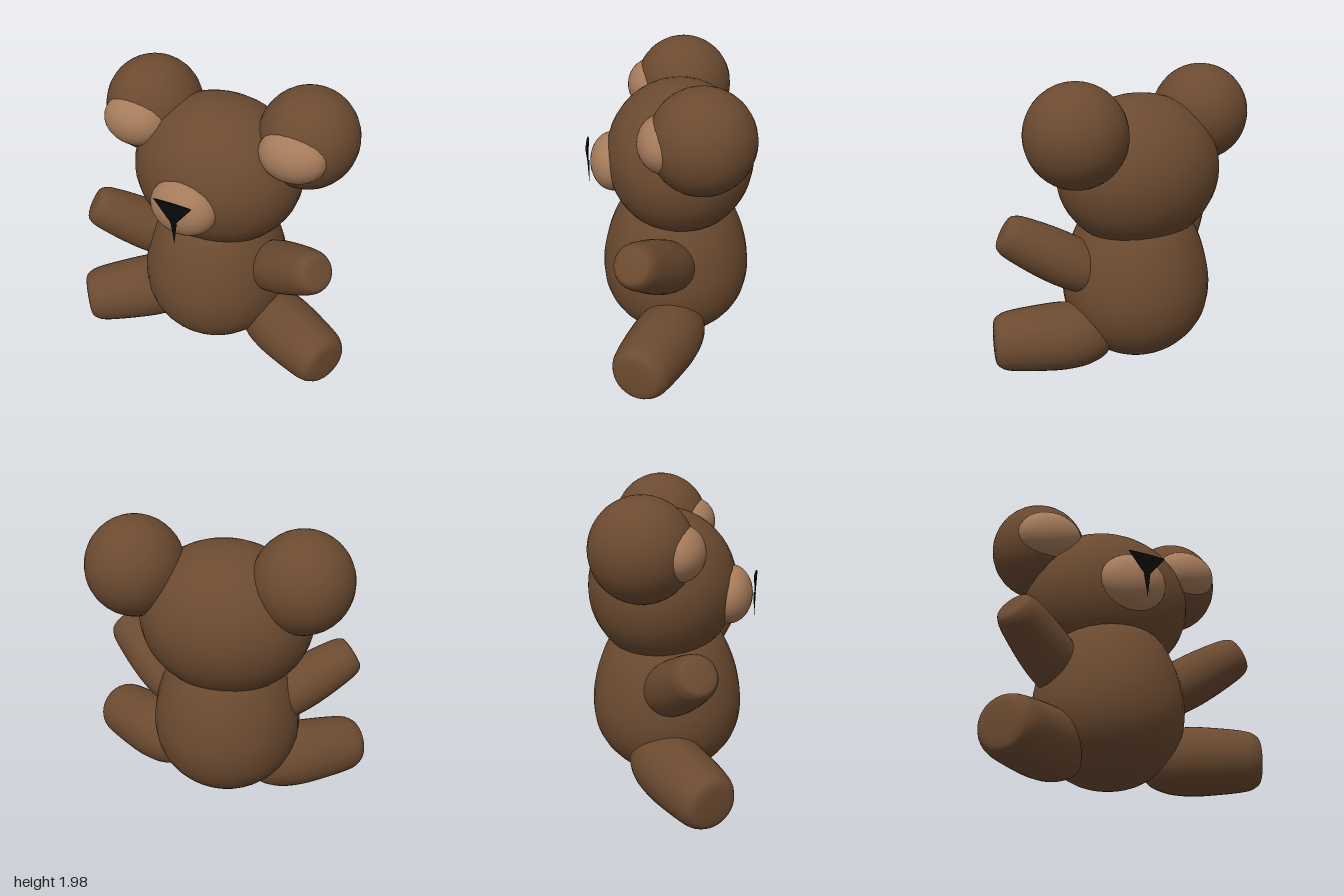
import * as THREE from 'three';

const fur = new THREE.MeshStandardMaterial({ color: 0x6b4a30 });
const tan = new THREE.MeshStandardMaterial({ color: 0xa67b5b });
const black = new THREE.MeshStandardMaterial({ color: 0x0a0a0a });

// Smooth lathe profile through a few [radius, height] points
function lathe(points, samples = 32) {
  const curve = new THREE.SplineCurve(points.map(([r, y]) => new THREE.Vector2(r, y)));
  const profile = curve.getPoints(samples).map((p) => new THREE.Vector2(Math.max(p.x, 0), p.y));
  return new THREE.LatheGeometry(profile, 32);
}

export function createModel() {
  const bear = new THREE.Group();
  bear.name = 'teddyBear';

  const add = (name, geometry, material, position, scale = [1, 1, 1]) => {
    const mesh = new THREE.Mesh(geometry, material);
    mesh.name = name;
    mesh.position.set(...position);
    mesh.scale.set(...scale);
    bear.add(mesh);
    return mesh;
  };
  const ball = new THREE.SphereGeometry(1, 32, 24);

  // Pear-shaped body and wide head
  add('body', lathe([
    [0, 0.045], [0.2, 0.085], [0.36, 0.195], [0.465, 0.35], [0.5, 0.54],
    [0.475, 0.74], [0.415, 0.92], [0.34, 1.04], [0.2, 1.15], [0, 1.2],
  ]), fur, [-0.04, 0, -0.04]);
  add('head', ball, fur, [-0.04, 1.35, -0.065], [0.57, 0.5, 0.485]);
  add('snout', ball, tan, [-0.06, 1.305, 0.375], [0.225, 0.19, 0.15]);

  // Ears with inner patches; the right one sits a little further forward
  for (const [side, x, z] of [['left', 0.53, -0.165], ['right', -0.535, -0.115]]) {
    add(side + 'Ear', ball, fur, [x, 1.677, z], [0.318, 0.323, 0.322]);
    add(side + 'InnerEar', ball, tan, [x - 0.01, 1.665, z + 0.225], [0.22, 0.17, 0.16]);
  }

  // Thin nose wedge and the narrow line below it, both pointing down
  const wedge = new THREE.ConeGeometry(1, 1, 24);
  wedge.rotateX(Math.PI);
  add('nose', wedge, black, [-0.045, 1.35, 0.539], [0.132, 0.165, 0.009]);
  add('mouthLine', wedge, black, [-0.042, 1.22, 0.536], [0.024, 0.18, 0.007]);

  // Plump limb from a rounded inner end to a blunt tip
  const limb = (name, from, to, radius, tip) => {
    const a = new THREE.Vector3(...from), b = new THREE.Vector3(...to);
    const length = a.distanceTo(b);
    const geometry = lathe([
      [0, 0], [0.6 * radius, 0.05 * length], [0.9 * radius, 0.2 * length],
      [radius, 0.4 * length], [0.97 * radius, 0.62 * length],
      [tip * 1.1, 0.86 * length], [tip * 0.95, 0.95 * length],
      [tip * 0.7, 0.99 * length], [0, length],
    ], 40);
    const mesh = add(name, geometry, fur, from);
    mesh.quaternion.setFromUnitVectors(new THREE.Vector3(0, 1, 0), b.sub(a).normalize());
  };
  limb('leftArm', [0.22, 0.64, -0.07], [0.815, 1.02, 0.27], 0.175, 0.135);
  limb('rightArm', [-0.24, 0.64, -0.07], [-0.835, 1.02, 0.27], 0.175, 0.135);
  limb('leftLeg', [0.22, 0.275, -0.1], [0.925, 0.275, 0.26], 0.225, 0.18);
  limb('rightLeg', [-0.24, 0.27, -0.15], [-0.9, 0.22, 0.37], 0.225, 0.18);

  return bear;
}
